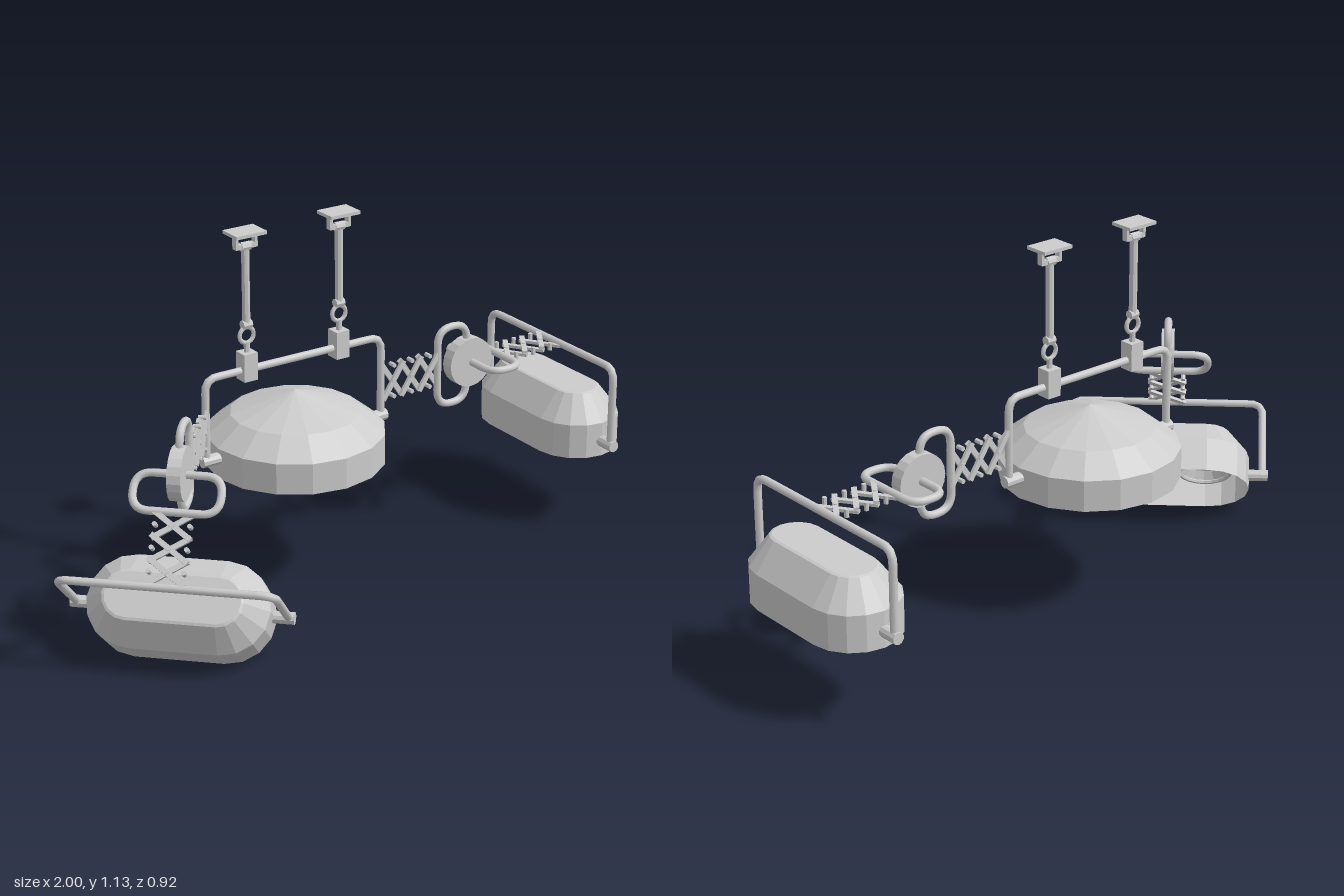
import * as THREE from 'three';

const flat = new THREE.MeshStandardMaterial({ color: 0xcccccc, flatShading: true, side: THREE.DoubleSide });
const smooth = new THREE.MeshStandardMaterial({ color: 0xcccccc });
const V = (x, y, z) => new THREE.Vector3(x, y, z);

function add(parent, name, geometry, x = 0, y = 0, z = 0, material = flat) {
  const mesh = new THREE.Mesh(geometry, material);
  mesh.name = name;
  mesh.position.set(x, y, z);
  parent.add(mesh);
  return mesh;
}

function group(parent, name, x = 0, y = 0, z = 0) {
  const g = new THREE.Group();
  g.name = name;
  g.position.set(x, y, z);
  parent.add(g);
  return g;
}

// Tube along a polyline with rounded corners
function bentTube(points, bend, radius, closed = false) {
  const path = new THREE.CurvePath();
  const n = points.length;
  const toward = (a, b) => a.clone().add(b.clone().sub(a).setLength(bend));
  let last = closed ? null : points[0];
  for (let i = closed ? 0 : 1; i < (closed ? n : n - 1); i++) {
    const p = points[i];
    const a = toward(p, points[(i + n - 1) % n]);
    const b = toward(p, points[(i + 1) % n]);
    if (last) path.add(new THREE.LineCurve3(last, a));
    path.add(new THREE.QuadraticBezierCurve3(a, p, b));
    last = b;
  }
  path.add(new THREE.LineCurve3(last, closed ? toward(points[0], points[n - 1]) : points[n - 1]));
  return new THREE.TubeGeometry(path, 56, radius, 8, closed);
}

// Open shade: stacked stadium rings, long axis on z (half = 0 makes it round)
function shadeGeometry(profile, half) {
  const pos = [], idx = [], n = 18;
  for (const [r, y] of profile) {
    for (const side of [0, 1]) for (let i = 0; i < 9; i++) {
      const a = Math.PI * (side + i / 8);
      pos.push(r * Math.cos(a), y, r * Math.sin(a) + (side ? -half : half));
    }
  }
  for (let k = 0; k < profile.length - 1; k++) for (let i = 0; i < n; i++) {
    const a = k * n + i, b = k * n + (i + 1) % n;
    idx.push(a, a + n, b, b, a + n, b + n);
  }
  const g = new THREE.BufferGeometry();
  g.setAttribute('position', new THREE.Float32BufferAttribute(pos, 3));
  g.setIndex(idx);
  g.computeVertexNormals();
  return g;
}

// Dish reflector with rim and bulb, facing down
function reflector(parent, x, y, z) {
  const g = group(parent, 'reflector', x, y, z);
  const dish = [[0.084, 0], [0.062, 0.028], [0.028, 0.05], [0, 0.055]].map(p => new THREE.Vector2(...p));
  add(g, 'reflectorDish', new THREE.LatheGeometry(dish, 16));
  add(g, 'reflectorRim', new THREE.TorusGeometry(0.084, 0.007, 6, 20)).rotation.x = Math.PI / 2;
  add(g, 'bulb', new THREE.SphereGeometry(0.02, 10, 8), 0, 0.035, 0, smooth);
}

// U-shaped yoke in the yz plane with its pivots at y = 0
function yoke(parent, height) {
  const g = group(parent, 'yoke');
  const s = 0.308;
  add(g, 'yokeTube', bentTube([V(0, -0.01, s), V(0, height, s), V(0, height, -s), V(0, -0.01, -s)], 0.04, 0.012), 0, 0, 0, smooth);
  for (const side of [-1, 1]) {
    add(g, 'pivotPin', new THREE.CylinderGeometry(0.018, 0.018, 0.075, 10), 0, 0, side * 0.288).rotation.x = Math.PI / 2;
  }
  return g;
}

// Lazy-tongs strut running along +x in the xy plane
function scissors(parent, x0, length) {
  const g = group(parent, 'scissorStrut');
  const cells = 3, w = length / cells, h = 0.1;
  for (let i = 0; i < cells; i++) {
    const cx = x0 + w * (i + 0.5);
    for (const s of [-1, 1]) {
      const bar = add(g, 'scissorBar', new THREE.BoxGeometry(Math.hypot(w, h) + 0.016, 0.016, 0.009), cx, 0, s * 0.005);
      bar.rotation.z = s * Math.atan2(h, w);
      add(g, 'scissorRivet', new THREE.CylinderGeometry(0.007, 0.007, 0.024, 8), cx, s * h / 2, 0).rotation.x = Math.PI / 2;
    }
    add(g, 'scissorRivet', new THREE.CylinderGeometry(0.007, 0.007, 0.024, 8), cx, 0, 0).rotation.x = Math.PI / 2;
  }
  return g;
}

function loopHandle(parent, x) {
  const w = 0.055, h = 0.126;
  return add(parent, 'loopHandle', bentTube([V(-w, -h, 0), V(w, -h, 0), V(w, h, 0), V(-w, h, 0)], 0.052, 0.012, true), x, 0, 0, smooth);
}

// Folding arm along +x: strut, loop, hinge disc, then a tilting half with an oblong lamp
function arm(parent, name, x, yaw, tilt) {
  const g = group(parent, name, x, 0.555, -0.137);
  g.rotation.y = yaw;
  scissors(g, 0.008, 0.2);
  loopHandle(g, 0.265);
  add(g, 'hingeDisc', new THREE.CylinderGeometry(0.079, 0.079, 0.04, 20), 0.325).rotation.x = Math.PI / 2;

  const outer = group(g, 'tiltingArm', 0.325);
  outer.rotation.z = -tilt;
  loopHandle(outer, 0.058).rotation.x = Math.PI / 2;
  scissors(outer, 0.118, 0.2).rotation.x = Math.PI / 2;

  const lamp = group(outer, 'oblongLamp', 0.328, -0.255, 0);
  yoke(lamp, 0.255);
  const profile = [[0.136, -0.05], [0.136, 0.06], [0.074, 0.142], [0.066, 0.145], [0, 0.145]];
  add(lamp, 'oblongShade', shadeGeometry(profile, 0.13));
  for (const s of [-1, 1]) reflector(lamp, 0, 0.012, s * 0.125);
}

// Ceiling suspension: plate, lug, rod with eyes, link and clamp block
function hanger(parent, x) {
  const g = group(parent, 'hanger', x, 0, -0.137);
  add(g, 'ceilingPlate', new THREE.BoxGeometry(0.102, 0.01, 0.076), 0, 1.124);
  add(g, 'ceilingLug', new THREE.BoxGeometry(0.065, 0.014, 0.02), 0, 1.084);
  for (const s of [-1, 1]) add(g, 'lugSide', new THREE.BoxGeometry(0.009, 0.045, 0.02), s * 0.032, 1.1);
  add(g, 'hangerRod', new THREE.CylinderGeometry(0.012, 0.012, 0.24, 8), 0, 0.962);
  for (const y of [1.082, 0.845]) add(g, 'rodEye', new THREE.CylinderGeometry(0.014, 0.014, 0.03, 8), 0, y).rotation.z = Math.PI / 2;
  add(g, 'link', new THREE.TorusGeometry(0.024, 0.007, 6, 14), 0, 0.812, 0, smooth);
  add(g, 'linkStem', new THREE.CylinderGeometry(0.009, 0.009, 0.04, 8), 0, 0.772);
  add(g, 'clampBlock', new THREE.BoxGeometry(0.046, 0.085, 0.046), 0, 0.718);
}

export function createModel() {
  const model = new THREE.Group();
  model.name = 'surgicalLamp';

  // Round central lamp
  const center = group(model, 'centralLamp', -0.1, 0.45, -0.137);
  yoke(center, 0.255).rotation.y = Math.PI / 2;
  add(center, 'roundShade', shadeGeometry([[0.27, -0.065], [0.27, 0.03], [0.195, 0.09], [0, 0.155]], 0));
  for (const a of [Math.PI / 2, Math.PI * 7 / 6, Math.PI * 11 / 6]) {
    reflector(center, 0.112 * Math.cos(a), -0.005, 0.112 * Math.sin(a));
  }

  for (const x of [-0.265, 0.056]) hanger(model, x);

  arm(model, 'leftArm', 0.21, 0, 0);
  arm(model, 'rightArm', -0.408, Math.PI + 0.8, 0.87);
  return model;
}
